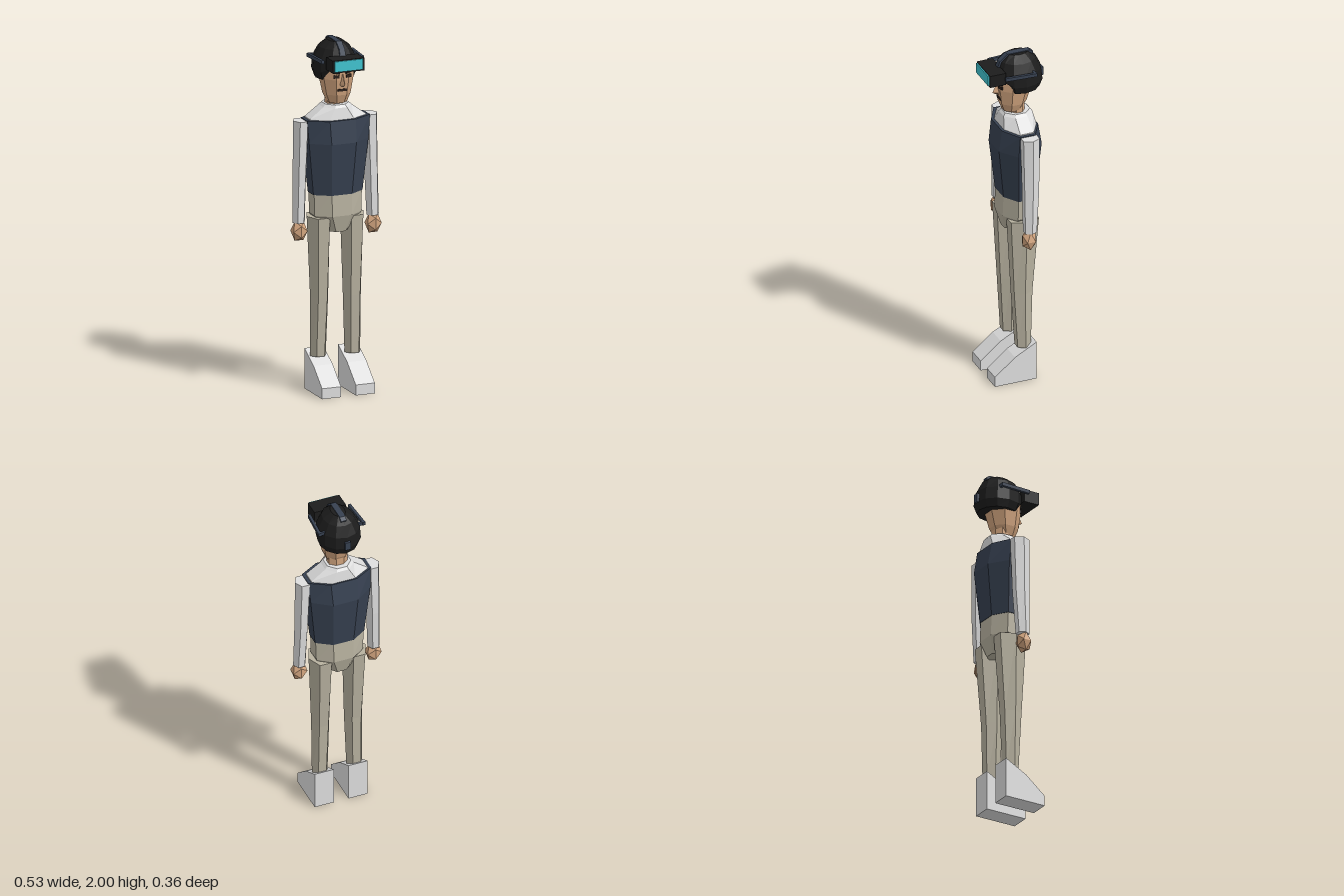
import * as THREE from 'three';

const mat = (name, color) => {
  const m = new THREE.MeshStandardMaterial({ color });
  m.name = name;
  return m;
};

// Faceted solid through elliptical rings: [y, halfWidth, halfDepth, centreX, centreZ]
function loft(rings, sides, phase = 0, adjust = null) {
  const angles = Array.from({ length: sides }, (_, j) => phase + (j / sides) * Math.PI * 2);
  const mx = Math.max(...angles.map(a => Math.abs(Math.cos(a))));
  const mz = Math.max(...angles.map(a => Math.abs(Math.sin(a))));
  const pos = [], idx = [];
  for (const [y, rx, rz, cx = 0, cz = 0] of rings) {
    for (const a of angles) {
      const p = new THREE.Vector3(cx + (rx / mx) * Math.cos(a), y, cz + (rz / mz) * Math.sin(a));
      if (adjust) adjust(p, a);
      pos.push(p.x, p.y, p.z);
    }
  }
  const n = rings.length, low = n * sides, high = low + 1;
  for (const [y, , , cx = 0, cz = 0] of [rings[0], rings[n - 1]]) pos.push(cx, y, cz);
  for (let j = 0; j < sides; j++) {
    const k = (j + 1) % sides;
    for (let i = 0; i < n - 1; i++) {
      const a = i * sides, b = a + sides;
      idx.push(a + j, b + j, a + k, b + j, b + k, a + k);
    }
    const t = (n - 1) * sides;
    idx.push(low, j, k, high, t + k, t + j);
  }
  const g = new THREE.BufferGeometry();
  g.setAttribute('position', new THREE.Float32BufferAttribute(pos, 3));
  g.setIndex(idx);
  const flat = g.toNonIndexed();
  flat.computeVertexNormals();
  return flat;
}

// Side profile of [z, y] points given a width along x
function sideExtrude(points, width) {
  const shape = new THREE.Shape(points.map(([z, y]) => new THREE.Vector2(z, y)));
  const g = new THREE.ExtrudeGeometry(shape, { depth: width, bevelEnabled: false });
  return g.translate(0, 0, -width / 2).rotateY(-Math.PI / 2);
}

export function createModel() {
  const model = new THREE.Group();
  model.name = 'figure';
  const skin = mat('skin', 0xd2a57f);
  const white = mat('white cloth', 0xdedede);
  const navy = mat('navy', 0x374151);
  const khaki = mat('khaki', 0xb8b2a0);
  const black = mat('black', 0x1c1c1c);
  const teal = mat('teal', 0x40c4d0);
  const dark = mat('dark features', 0x2a1f1a);

  const add = (name, geometry, material, x = 0, y = 0, z = 0) => {
    const m = new THREE.Mesh(geometry, material);
    m.name = name;
    m.position.set(x, y, z);
    model.add(m);
    return m;
  };
  const box = (w, h, d) => new THREE.BoxGeometry(w, h, d);
  const P8 = Math.PI / 8;

  // Torso
  add('vest', loft([
    [1.13, 0.147, 0.096, 0, -0.018], [1.43, 0.178, 0.128, 0, -0.018], [1.56, 0.188, 0.108, 0, -0.014],
  ], 8, P8), navy);
  add('shoulders', loft([
    [1.55, 0.172, 0.098, 0, -0.018], [1.565, 0.168, 0.096, 0, -0.018],
    [1.625, 0.085, 0.086, 0, -0.02], [1.64, 0.07, 0.074, 0, -0.02],
  ], 8, P8), white);
  add('hips', loft([
    [0.915, 0.065, 0.075, 0, -0.016], [1.01, 0.14, 0.1, 0, -0.018], [1.14, 0.143, 0.094, 0, -0.017],
  ], 8, P8), khaki);

  // Limbs
  for (const s of [1, -1]) {
    const side = s > 0 ? 'left' : 'right';
    add(side + 'Sleeve', loft([
      [0.975, 0.037, 0.034, s * 0.222, -0.012], [1.23, 0.04, 0.043, s * 0.215, -0.019],
      [1.555, 0.046, 0.048, s * 0.205, -0.02],
    ], 6), white);
    const hand = add(side + 'Hand', new THREE.IcosahedronGeometry(1, 0), skin, s * 0.222, 0.927, -0.006);
    hand.scale.set(0.049, 0.064, 0.046);
    add(side + 'Trouser', loft([
      [0.2, 0.047, 0.039, s * 0.103, -0.019], [0.54, 0.054, 0.054, s * 0.098, -0.014],
      [1.0, 0.07, 0.083, s * 0.1, -0.02],
    ], 6), khaki);
    add(side + 'Shoe', sideExtrude(
      [[0.17, 0], [0.17, 0.06], [0.05, 0.16], [-0.08, 0.23], [-0.08, 0]], 0.114), white, s * 0.101);
  }

  // Head and neck
  add('neck', loft([[1.62, 0.055, 0.045, 0, -0.02], [1.72, 0.055, 0.045, 0, -0.02]], 8, P8), skin);
  add('head', loft([
    [1.65, 0.052, 0.05, 0, 0.006], [1.7, 0.072, 0.075, 0, 0], [1.79, 0.088, 0.094, 0, -0.006],
    [1.92, 0.088, 0.094, 0, -0.006],
  ], 8, P8), skin);
  add('nose', loft([[1.755, 0.013, 0.014, 0, 0.086], [1.767, 0.016, 0.026, 0, 0.093],
    [1.825, 0.004, 0.004, 0, 0.087]], 3, Math.PI / 2), skin);
  add('mouth', box(0.054, 0.013, 0.008), dark, 0, 1.731, 0.08);
  for (const s of [1, -1]) {
    const side = s > 0 ? 'left' : 'right';
    const eye = add(side + 'Eye', box(0.034, 0.018, 0.008), dark, s * 0.036, 1.811, 0.086);
    eye.rotation.y = s * 0.3;
    const brow = add(side + 'Brow', box(0.04, 0.007, 0.008), dark, s * 0.036, 1.831, 0.086);
    brow.rotation.set(0, s * 0.3, s * 0.15);
  }

  // Helmet, with its lower front raised above the eyes
  add('helmet', loft([
    [1.785, 0.108, 0.118, 0, -0.038], [1.83, 0.124, 0.137, 0, -0.037], [1.9, 0.12, 0.133, 0, -0.033],
    [1.96, 0.088, 0.105, 0, -0.03], [1.996, 0.04, 0.062, 0, -0.03],
  ], 12, 0, (p, a) => { if (Math.sin(a) > 0.8) p.y = Math.max(p.y, 1.86); }), black);
  add('crownStrap', sideExtrude([
    [0.105, 1.9], [0.08, 1.965], [0.035, 2], [-0.1, 2], [-0.12, 1.985], [-0.1, 1.95], [0.04, 1.95], [0.06, 1.9],
  ], 0.033), navy);
  add('backBuckle', box(0.033, 0.05, 0.03), navy, 0, 1.85, -0.165);
  for (const s of [1, -1]) {
    const strap = add(s > 0 ? 'leftStrap' : 'rightStrap', box(0.016, 0.02, 0.184), navy, s * 0.126, 1.905, 0);
    strap.rotation.y = -s * 0.07;
    add(s > 0 ? 'leftStrapEnd' : 'rightStrapEnd', box(0.036, 0.02, 0.012), navy, s * 0.117, 1.905, -0.083);
  }

  // Visor
  add('visor', box(0.188, 0.072, 0.095), black, 0, 1.893, 0.125);
  add('visorScreen', box(0.168, 0.06, 0.008), teal, 0, 1.895, 0.176);

  return model;
}
